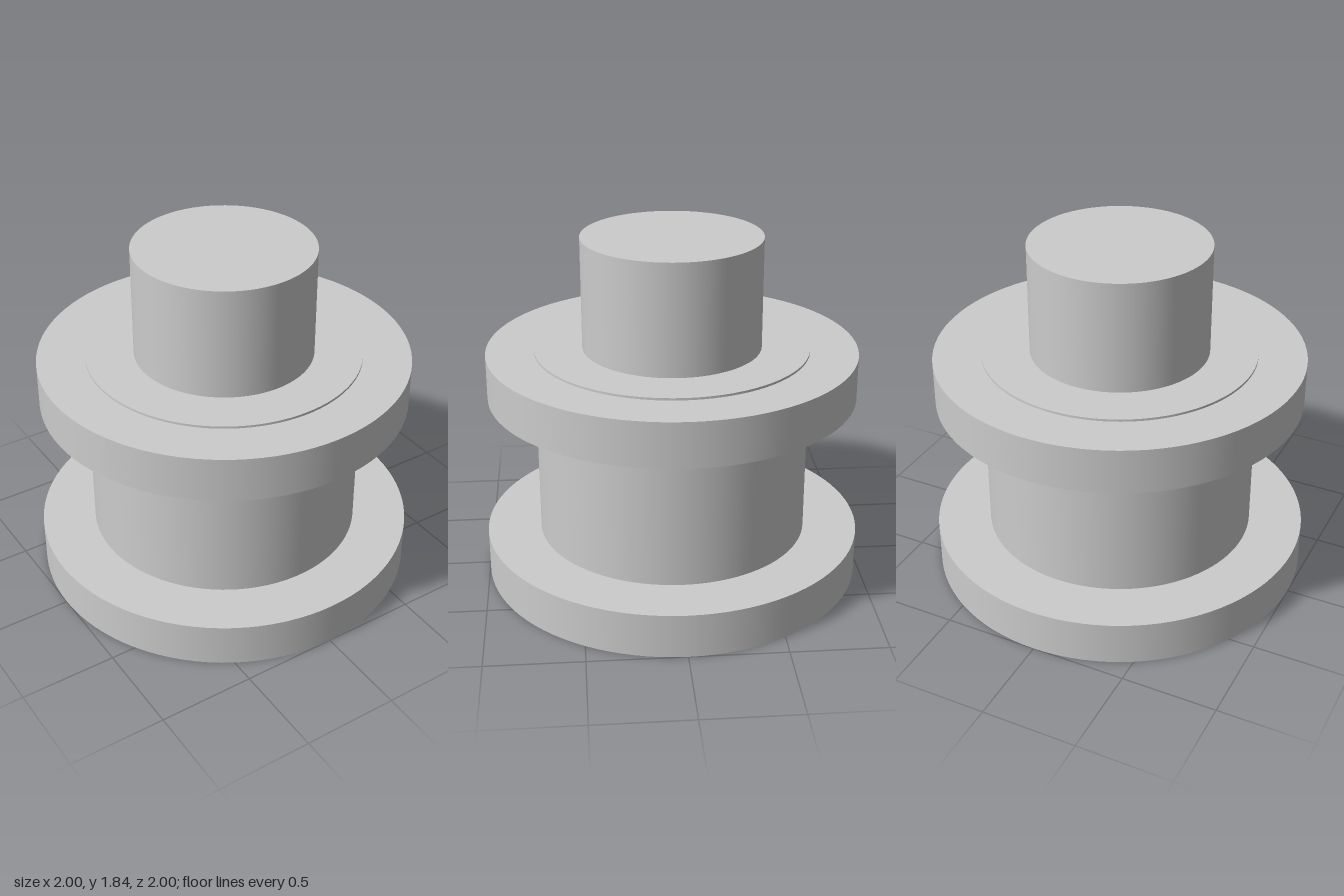
import * as THREE from 'three';

export function createModel() {
  const group = new THREE.Group();
  const lightGrey = new THREE.MeshStandardMaterial({ color: 0xcccccc });
  lightGrey.name = 'lightGrey';

  // Upright smooth cylinder between two heights
  function addDisc(name, radius, bottom, top) {
    const height = top - bottom;
    const mesh = new THREE.Mesh(new THREE.CylinderGeometry(radius, radius, height, 96), lightGrey);
    mesh.name = name;
    mesh.position.y = bottom + height / 2;
    group.add(mesh);
  }

  addDisc('baseFlange', 1, 0, 0.235);
  addDisc('drum', 0.715, 0.235, 1.252); // rises slightly above the upper flange
  addDisc('upperFlange', 0.965, 1.003, 1.24);
  addDisc('topShaft', 0.466, 1.252, 1.838);

  return group;
}
